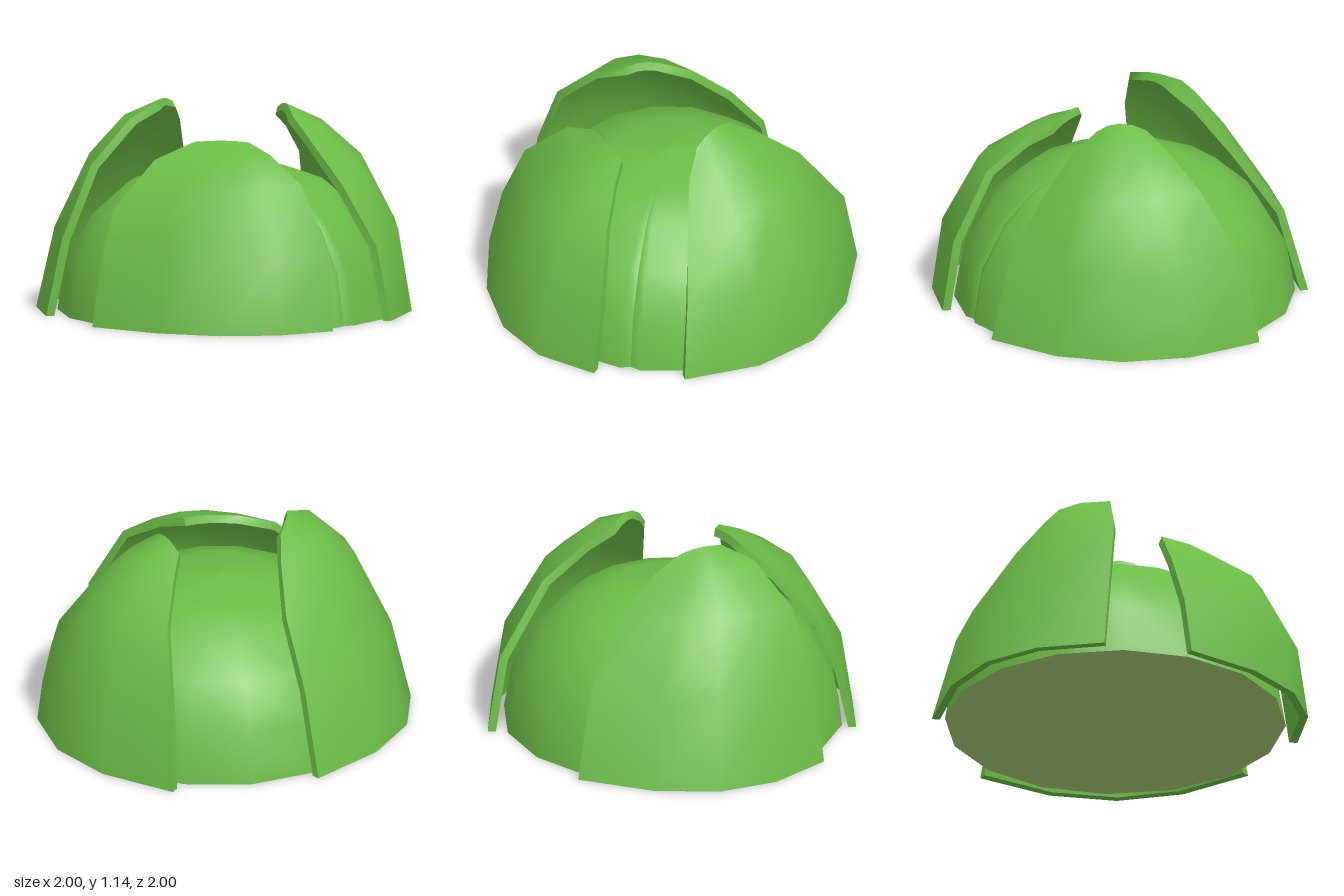
import * as THREE from 'three';
import { toCreasedNormals } from 'three/addons/utils/BufferGeometryUtils.js';

const leafGreen = new THREE.MeshStandardMaterial({ name: 'leafGreen', color: 0x6cbc47 });
const stemCut = new THREE.MeshStandardMaterial({ name: 'stemCut', color: 0xa8cc70 });

const COLS = 4;
const THICKNESS = 0.045;

// Curved shell: each row holds three points (right edge, middle, left edge seen from outside)
function leafGeometry(rows) {
  const w = COLS + 1, outer = [], faces = [];
  for (const [p, q, r] of rows) {
    for (let c = 0; c < w; c++) {
      const t = c / COLS;
      const a = 2 * (t - 0.5) * (t - 1), b = 4 * t * (1 - t), d = 2 * t * (t - 0.5);
      outer.push(...p.map((v, k) => a * v + b * q[k] + d * r[k]));
    }
  }
  const n = outer.length / 3;
  const quad = (a, b, c, d) => faces.push(a, b, c, a, c, d);
  for (let j = 0; j < rows.length - 1; j++)
    for (let c = 0; c < COLS; c++) {
      const i = j * w + c;
      quad(i, i + 1, i + 1 + w, i + w);
    }
  const skin = new THREE.BufferGeometry();
  skin.setAttribute('position', new THREE.Float32BufferAttribute(outer, 3));
  skin.setIndex([...faces]);
  skin.computeVertexNormals();

  // Inner skin, pushed in along the normals
  const nor = skin.attributes.normal, inner = [];
  for (let i = 0; i < n; i++) {
    const level = i < w ? 0 : 1; // keep the foot flat on the ground
    inner.push(
      outer[i * 3] - nor.getX(i) * THICKNESS,
      outer[i * 3 + 1] - nor.getY(i) * THICKNESS * level,
      outer[i * 3 + 2] - nor.getZ(i) * THICKNESS);
  }
  for (let k = 0, m = faces.length; k < m; k += 3)
    faces.push(faces[k] + n, faces[k + 2] + n, faces[k + 1] + n);

  // Rim around the border
  const loop = [];
  for (let c = 0; c < COLS; c++) loop.push(c);
  for (let j = 0; j < rows.length - 1; j++) loop.push(j * w + COLS);
  for (let c = COLS; c > 0; c--) loop.push((rows.length - 1) * w + c);
  for (let j = rows.length - 1; j > 0; j--) loop.push(j * w);
  loop.forEach((a, k) => {
    const b = loop[(k + 1) % loop.length];
    quad(b, a, a + n, b + n);
  });

  const geo = new THREE.BufferGeometry();
  geo.setAttribute('position', new THREE.Float32BufferAttribute([...outer, ...inner], 3));
  geo.setIndex(faces);
  return toCreasedNormals(geo, 0.7);
}

const leaves = {
  sideLeaf: [
    [[0.31, 0, 0.94], [0.905, 0, 0.44], [0.96, 0, -0.35]],
    [[0.30, 0.40, 0.84], [0.84, 0.46, 0.42], [0.90, 0.42, -0.30]],
    [[0.25, 0.72, 0.62], [0.65, 0.82, 0.36], [0.69, 0.81, -0.13]],
    [[0.21, 0.95, 0.41], [0.44, 1.02, 0.27], [0.48, 0.99, -0.03]],
    [[0.22, 1.06, 0.27], [0.28, 1.11, 0.16], [0.34, 1.07, 0.03]],
  ],
  frontLeaf: [
    [[-1.0, 0, -0.02], [-0.75, 0, 0.71], [-0.18, 0, 1.0]],
    [[-0.93, 0.33, -0.03], [-0.71, 0.40, 0.67], [-0.15, 0.40, 0.95]],
    [[-0.81, 0.62, -0.05], [-0.57, 0.74, 0.54], [-0.17, 0.77, 0.74]],
    [[-0.56, 0.87, 0.01], [-0.40, 0.91, 0.36], [-0.18, 0.91, 0.51]],
    [[-0.37, 0.96, 0.12], [-0.27, 0.97, 0.25], [-0.18, 0.96, 0.35]],
  ],
  backLeaf: [
    [[0.39, 0, -0.91], [-0.39, 0, -0.96], [-0.89, 0, -0.49]],
    [[0.34, 0.47, -0.79], [-0.37, 0.46, -0.84], [-0.83, 0.42, -0.43]],
    [[0.21, 0.80, -0.58], [-0.34, 0.86, -0.61], [-0.70, 0.82, -0.34]],
    [[0.04, 1.02, -0.43], [-0.28, 1.05, -0.47], [-0.48, 1.06, -0.26]],
    [[-0.09, 1.11, -0.34], [-0.20, 1.14, -0.30], [-0.30, 1.13, -0.24]],
  ],
};

// Round heart of the plant, with a narrow fold down its front
function heartGeometry() {
  const profile = [[0.92, 0], [0.87, 0.28], [0.73, 0.52], [0.54, 0.69], [0.32, 0.77], [0, 0.81]];
  const angles = [0, 0.06];
  for (let i = 1; i < 16; i++) angles.push(i * Math.PI / 8);
  angles.push(Math.PI * 2 - 0.06, Math.PI * 2);
  const geo = new THREE.LatheGeometry(profile.map(p => new THREE.Vector2(...p)), angles.length - 1);
  angles.forEach((a, i) => {
    const dent = i === 0 || i === angles.length - 1 ? 0.975 : 1;
    profile.forEach(([r, y], j) =>
      geo.attributes.position.setXYZ(i * profile.length + j, Math.sin(a) * r * dent, y, Math.cos(a) * r * dent));
  });
  geo.computeVertexNormals();
  return geo;
}

export function createModel() {
  const model = new THREE.Group();
  model.name = 'cabbage';
  const add = (name, geo, mat) => {
    const mesh = new THREE.Mesh(geo, mat);
    mesh.name = name;
    model.add(mesh);
  };
  add('heart', heartGeometry(), leafGreen);
  add('cutBase', new THREE.CircleGeometry(0.92, 16).rotateX(Math.PI / 2), stemCut);
  for (const [name, rows] of Object.entries(leaves)) add(name, leafGeometry(rows), leafGreen);
  return model;
}
